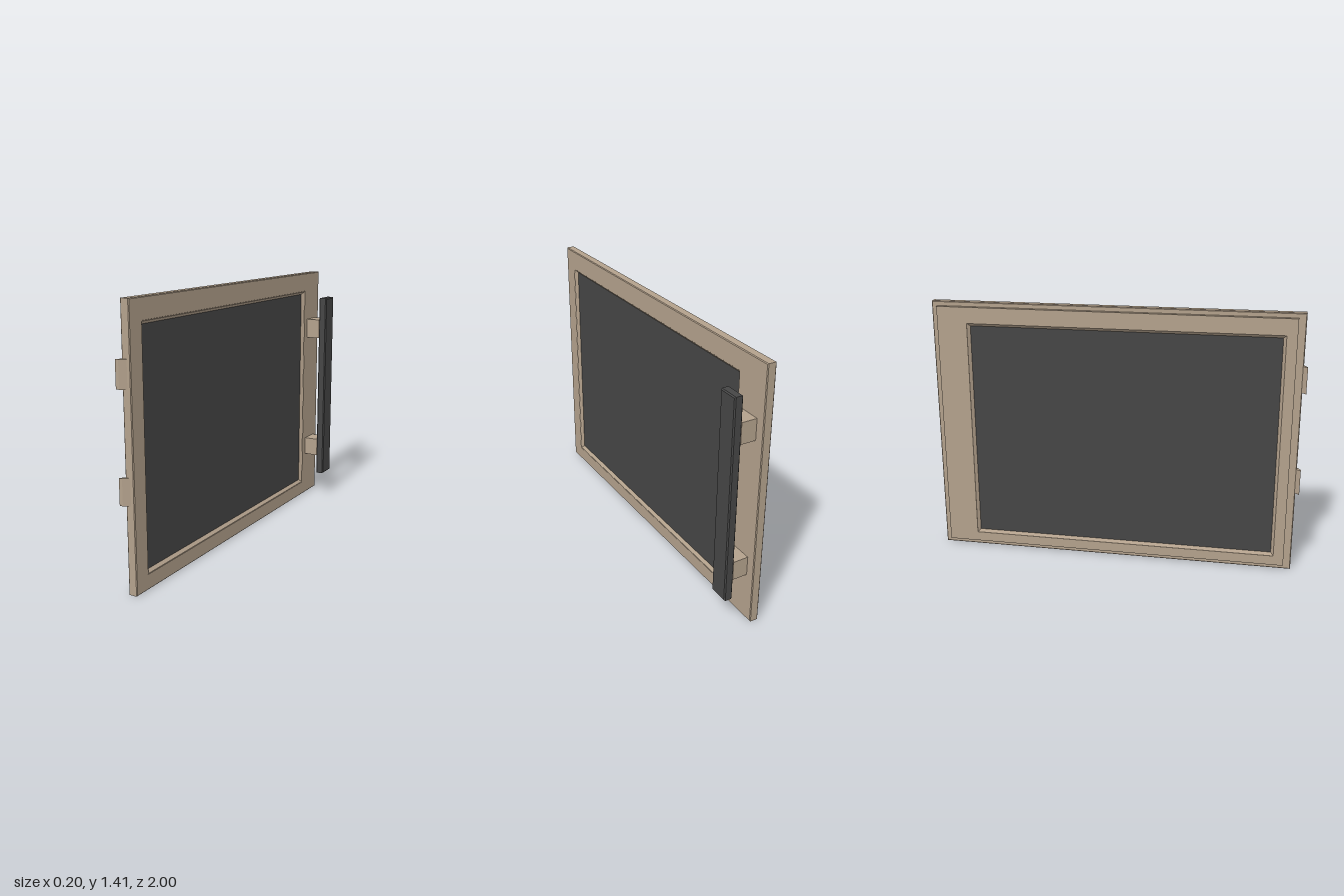
import * as THREE from 'three';

const tan = new THREE.MeshStandardMaterial({ color: 0xb3a18c });
tan.name = 'tan frame';
const dark = new THREE.MeshStandardMaterial({ color: 0x464646 });
dark.name = 'dark grey';

// Rectangle given by z and y limits, drawn in a plane whose x runs along -z
function rect(Type, [z0, z1, y0, y1], grow = 0) {
  const a = -z1 - grow, b = -z0 + grow, c = y0 - grow, d = y1 + grow;
  return new Type([[a, c], [b, c], [b, d], [a, d]].map(p => new THREE.Vector2(...p)));
}

// Slab between two x planes with chamfered edges and an optional opening
function slab(name, material, shape, x0, x1, bevel, offset = -bevel) {
  const geo = new THREE.ExtrudeGeometry(shape, {
    depth: x1 - x0 - 2 * bevel, bevelEnabled: bevel > 0, bevelSize: bevel,
    bevelThickness: bevel, bevelOffset: offset, bevelSegments: 1,
  });
  geo.rotateY(Math.PI / 2).translate(x0 + bevel, 0, 0);
  const mesh = new THREE.Mesh(geo, material);
  mesh.name = name;
  return mesh;
}

function ring(outer, hole, growOuter = 0) {
  const shape = rect(THREE.Shape, outer, growOuter);
  shape.holes.push(rect(THREE.Path, hole));
  return shape;
}

export function createModel() {
  const model = new THREE.Group();
  model.name = 'ovenDoor';
  const opening = [-0.8, 0.885, 0.083, 1.303];

  // Outer frame, narrower inner frame and the sloped lip around the window
  model.add(slab('outerFrame', tan, ring([-1, 0.98, 0, 1.415], opening), -0.076, -0.028, 0.004));
  model.add(slab('innerFrame', tan, ring([-0.965, 0.94, 0.03, 1.39], opening), -0.102, -0.076, 0));
  model.add(slab('windowLip', tan, ring(opening, opening, 0.012), -0.101, -0.029, 0.016, 0));

  // Window pane
  model.add(slab('windowPane', dark, rect(THREE.Shape, opening), -0.086, -0.044, 0));

  // Handle bar on two posts
  model.add(slab('handleBar', dark, rect(THREE.Shape, [-0.95, -0.84, 0.147, 1.265]), 0.053, 0.1, 0.006));
  for (const [y0, y1] of [[0.262, 0.367], [1.017, 1.13]]) {
    model.add(slab('handlePost', tan, rect(THREE.Shape, [-0.949, -0.841, y0, y1]), -0.03, 0.055, 0));
  }

  // Slanted hinge tabs on the far edge
  const profile = new THREE.Shape([
    [-0.098, -1], [-0.08, -1], [-0.04, -0.975], [-0.075, -0.975],
  ].map(p => new THREE.Vector2(...p)));
  for (const [y0, y1] of [[0.45, 0.585], [1.003, 1.142]]) {
    const geo = new THREE.ExtrudeGeometry(profile, { depth: y1 - y0, bevelEnabled: false });
    geo.rotateX(-Math.PI / 2).translate(0, y0, 0);
    const tab = new THREE.Mesh(geo, tan);
    tab.name = 'hingeTab';
    model.add(tab);
  }
  return model;
}
